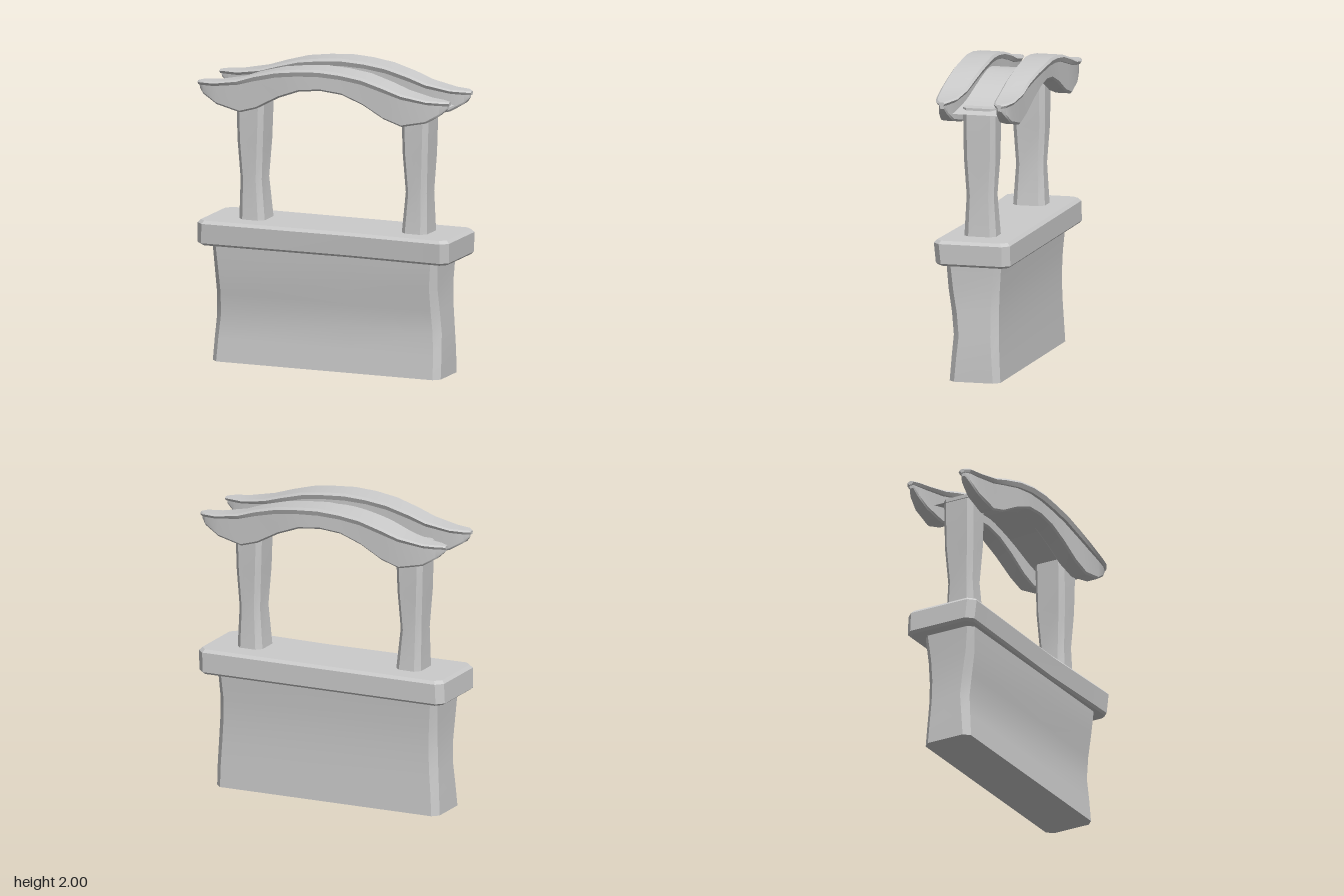
import * as THREE from 'three';
import { toCreasedNormals } from 'three/addons/utils/BufferGeometryUtils.js';

const material = new THREE.MeshStandardMaterial({ color: 0xcccccc });

// Skin a list of equal cross-section loops and close both ends.
function loft(name, rings) {
  const n = rings[0].length, index = [];
  for (let r = 0; r < rings.length - 1; r++) {
    for (let i = 0; i < n; i++) {
      const j = (i + 1) % n, a = r * n + i, b = r * n + j;
      index.push(a, b, b + n, a, b + n, a + n);
    }
  }
  const last = (rings.length - 1) * n;
  for (let i = 1; i < n - 1; i++) {
    index.push(0, i + 1, i, last, last + i, last + i + 1);
  }
  const geometry = new THREE.BufferGeometry();
  geometry.setAttribute('position', new THREE.Float32BufferAttribute(rings.flat(2), 3));
  geometry.setIndex(index);
  const mesh = new THREE.Mesh(toCreasedNormals(geometry, 0.5), material);
  mesh.name = name;
  return mesh;
}

// Horizontal rectangle with cut corners; dent pulls the middle of the front in.
function ring([y, x0, x1, z0, z1, c], dent = 0) {
  const xm = x0 + (x1 - x0) * 0.6;
  return [
    [x1, y, z1 - c], [x1, y, z0 + c], [x1 - c, y, z0], [xm, y, z0],
    [x0 + c, y, z0], [x0, y, z0 + c], [x0, y, z1 - c], [x0 + c, y, z1],
    [xm, y, z1 - dent], [x1 - c, y, z1],
  ];
}

// Beam stations: x, outer z, inner z, cap top, cap underside, fin bottom.
const beamRows = [
  [-0.88, 0.205, 0.165, 1.845, 1.82, 1.80],
  [-0.85, 0.235, 0.14, 1.85, 1.822, 1.765],
  [-0.75, 0.255, 0.12, 1.853, 1.826, 1.705],
  [-0.58, 0.268, 0.108, 1.885, 1.85, 1.665],
  [-0.46, 0.272, 0.108, 1.928, 1.885, 1.70],
  [-0.30, 0.287, 0.11, 1.97, 1.925, 1.785],
  [-0.15, 0.295, 0.107, 1.99, 1.945, 1.84],
  [0.00, 0.29, 0.098, 2.0, 1.952, 1.855],
  [0.15, 0.285, 0.09, 1.99, 1.945, 1.84],
  [0.30, 0.285, 0.09, 1.97, 1.925, 1.785],
  [0.45, 0.288, 0.10, 1.928, 1.885, 1.705],
  [0.58, 0.29, 0.11, 1.885, 1.85, 1.665],
  [0.75, 0.272, 0.13, 1.853, 1.826, 1.70],
  [0.84, 0.25, 0.155, 1.85, 1.822, 1.755],
  [0.89, 0.22, 0.175, 1.845, 1.82, 1.80],
];

function roofBeam(name) {
  const beam = new THREE.Group();
  beam.name = name;
  const cap = beamRows.map(([x, out, inn, top, low]) => {
    const b = 0.012, lip = top - (top - low) * 0.35;
    return [
      [x, top, inn + b], [x, top, out - b], [x, lip, out],
      [x, low, out - b], [x, low, inn + b], [x, lip, inn],
    ];
  });
  const fin = beamRows.map(([x, out, inn, , low, bottom]) => {
    const mid = (out + inn) / 2, half = (out - inn) * 0.33;
    const s = x * 0.985, top = low + 0.008, edge = bottom + 0.012;
    return [
      [s, top, mid - half], [s, top, mid + half], [s, edge, mid + half],
      [s, bottom, mid + half * 0.8], [s, bottom, mid - half * 0.8], [s, edge, mid - half],
    ];
  });
  beam.add(loft('beamCap', cap), loft('beamFin', fin));
  return beam;
}

// Thin arched sheet between the two beams.
function roofSheet() {
  const arch = new THREE.SplineCurve([
    [-0.67, 1.75], [-0.5, 1.79], [-0.28, 1.87], [0, 1.92],
    [0.26, 1.885], [0.52, 1.8], [0.77, 1.75],
  ].map(([x, y]) => new THREE.Vector2(x, y))).getPoints(24);
  const geometry = new THREE.PlaneGeometry(1, 0.34, 24, 1).rotateX(-Math.PI / 2);
  const p = geometry.attributes.position;
  for (let i = 0; i < p.count; i++) {
    const { x, y } = arch[i % 25];
    p.setXYZ(i, x, y, p.getZ(i));
  }
  geometry.computeVertexNormals();
  const sheetMaterial = material.clone();
  sheetMaterial.side = THREE.DoubleSide;
  const sheet = new THREE.Mesh(geometry, sheetMaterial);
  sheet.name = 'roofSheet';
  return sheet;
}

export function createModel() {
  const model = new THREE.Group();
  model.name = 'stall';

  // Base wall with a gently bowed outline
  model.add(loft('baseWall', [
    [0.0, -0.80, 0.80, -0.16, 0.18, 0.04],
    [0.15, -0.792, 0.80, -0.153, 0.168, 0.042],
    [0.30, -0.782, 0.795, -0.147, 0.155, 0.045],
    [0.45, -0.777, 0.787, -0.145, 0.17, 0.045],
    [0.60, -0.78, 0.782, -0.15, 0.193, 0.042],
    [0.79, -0.79, 0.79, -0.165, 0.205, 0.035],
  ].map((r) => ring(r))));

  // Counter slab with bevelled edges
  model.add(loft('counter', [
    [0.77, -0.86, 0.87, -0.235, 0.235, 0.04],
    [0.785, -0.88, 0.885, -0.25, 0.25, 0.045],
    [0.915, -0.873, 0.89, -0.248, 0.262, 0.045],
    [0.935, -0.855, 0.872, -0.23, 0.245, 0.04],
  ].map((r) => ring(r, 0.02))));

  // Posts, waisted near the middle
  model.add(loft('rightPost', [
    [0.92, -0.64, -0.46, -0.10, 0.115, 0.035],
    [1.20, -0.635, -0.487, -0.082, 0.10, 0.03],
    [1.45, -0.65, -0.472, -0.098, 0.115, 0.03],
    [1.78, -0.658, -0.46, -0.10, 0.118, 0.03],
  ].map((r) => ring(r))));
  model.add(loft('leftPost', [
    [0.92, 0.50, 0.68, -0.10, 0.115, 0.035],
    [1.20, 0.525, 0.672, -0.082, 0.10, 0.03],
    [1.45, 0.51, 0.685, -0.098, 0.115, 0.03],
    [1.78, 0.50, 0.695, -0.10, 0.118, 0.03],
  ].map((r) => ring(r))));

  // Roof: two matching beams, turned half round, and the sheet between
  const frontBeam = roofBeam('frontRoofBeam');
  const backBeam = roofBeam('backRoofBeam');
  backBeam.rotation.y = Math.PI;
  model.add(frontBeam, backBeam, roofSheet());
  return model;
}
